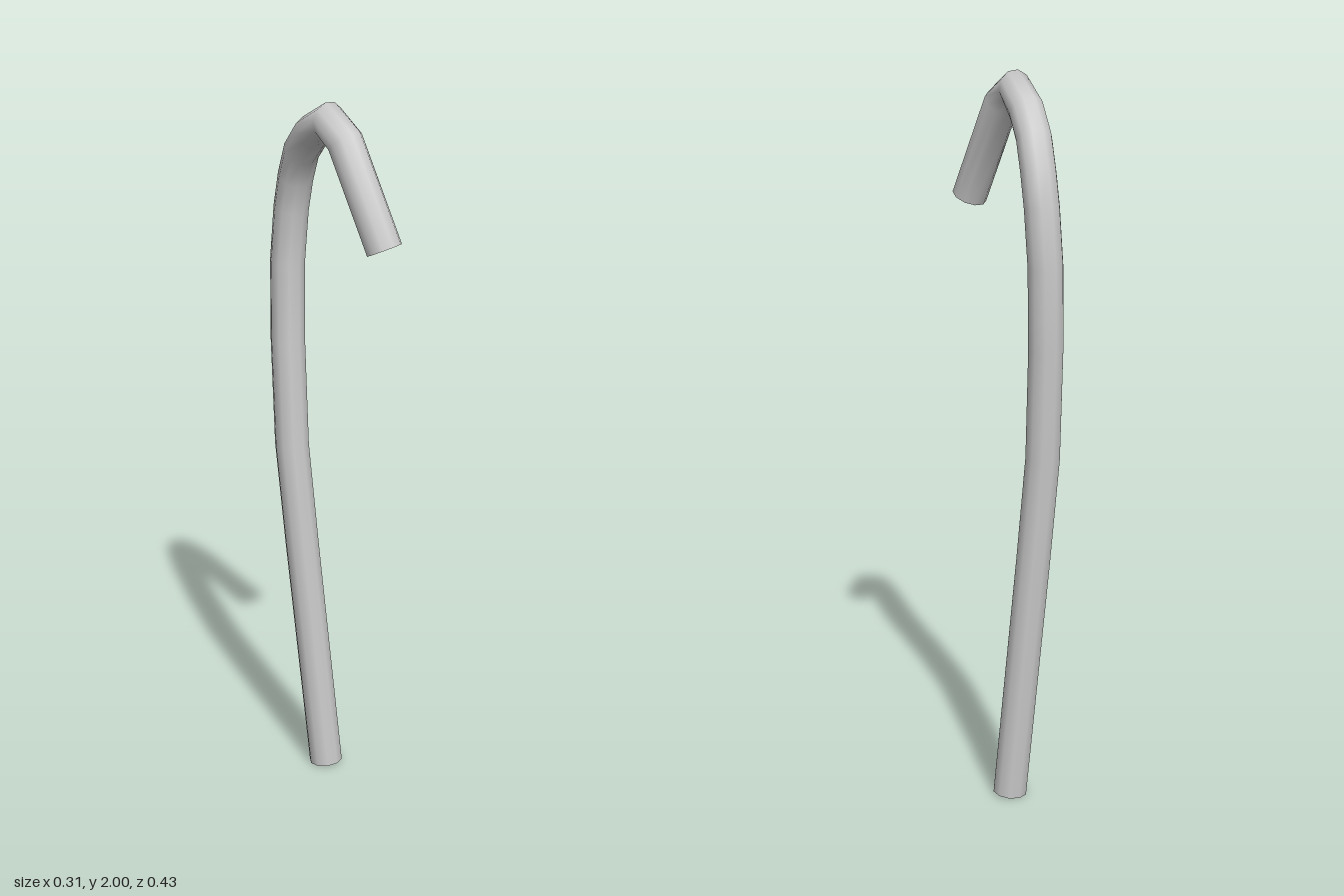
import * as THREE from 'three';

// Centre line of the bent pipe, from the foot to the tip of the hook
const PATH = [
  [-0.012, 0.006, -0.096], [-0.075, 0.7, -0.124], [-0.1, 1.0, -0.139], [-0.107, 1.3, -0.156],
  [-0.105, 1.52, -0.166], [-0.095, 1.67, -0.157], [-0.085, 1.76, -0.137], [-0.073, 1.84, -0.098],
  [-0.052, 1.903, -0.035], [-0.02, 1.952, 0.04], [0.017, 1.907, 0.088], [0.107, 1.645, 0.172],
].map((p) => new THREE.Vector3(...p));

// One ring per path point, turned to halve the angle at each bend
class BentPath extends THREE.Curve {
  getPointAt(t, target = new THREE.Vector3()) {
    return target.copy(PATH[Math.round(t * (PATH.length - 1))]);
  }
  getPoint(t, target) {
    return this.getPointAt(t, target);
  }
  getTangentAt(t, target = new THREE.Vector3()) {
    const last = PATH.length - 1;
    const i = Math.round(t * last);
    const step = (k) => PATH[k + 1].clone().sub(PATH[k]).normalize();
    return target.copy(step(Math.max(i - 1, 0))).add(step(Math.min(i, last - 1))).normalize();
  }
}

export function createModel() {
  const group = new THREE.Group();
  group.name = 'hookedPipe';

  // Hollow ten-sided pipe, open at both ends
  const pipe = new THREE.Mesh(
    new THREE.TubeGeometry(new BentPath(), PATH.length - 1, 0.048, 10, false),
    new THREE.MeshStandardMaterial({ color: 0xcccccc, side: THREE.DoubleSide }),
  );
  pipe.name = 'pipe';
  group.add(pipe);
  return group;
}
